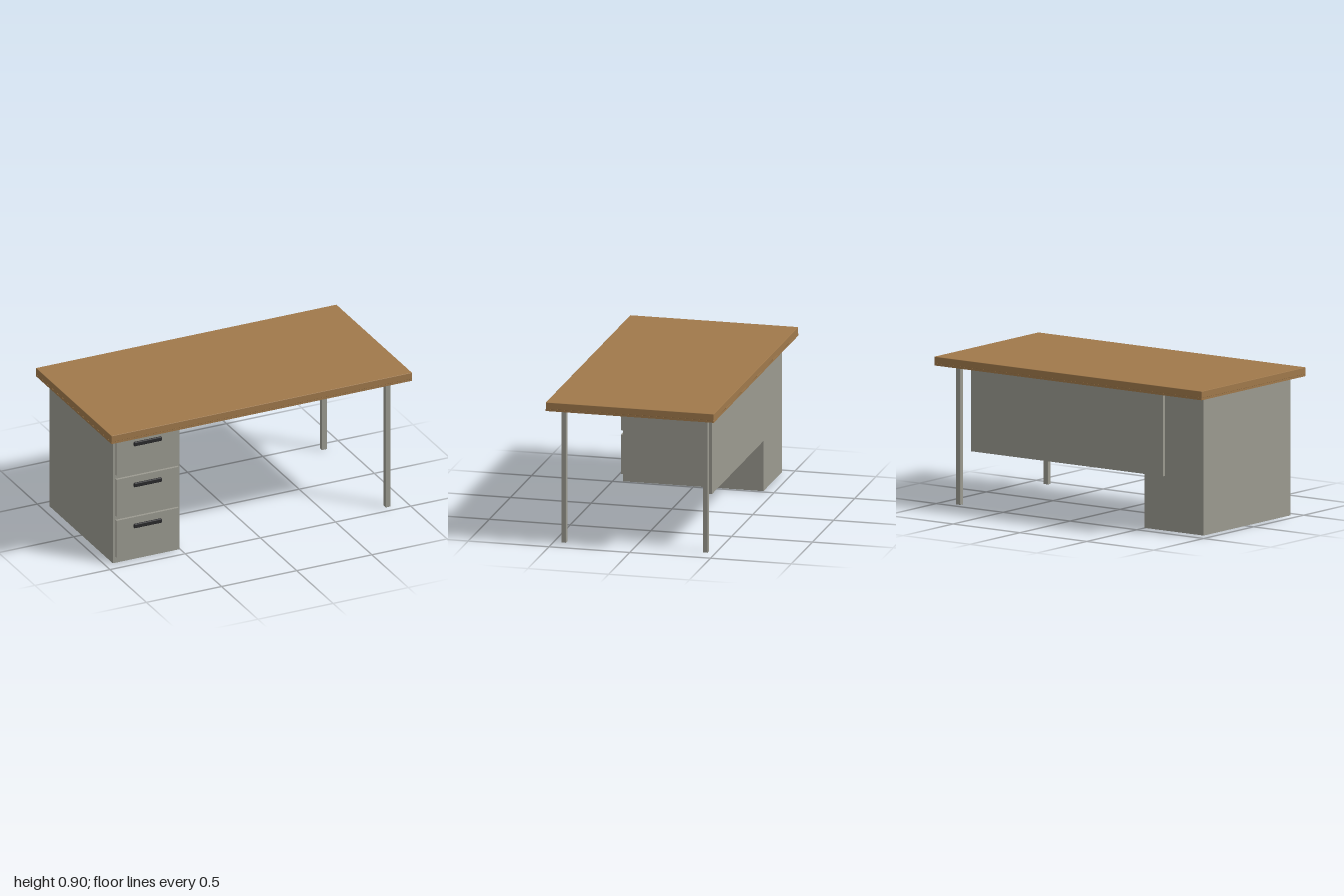
import * as THREE from 'three';
import { RoundedBoxGeometry } from 'three/addons/geometries/RoundedBoxGeometry.js';

const material = (name, color) => {
  const m = new THREE.MeshStandardMaterial({ color });
  m.name = name;
  return m;
};

export function createModel() {
  const wood = material('wood', 0xa0794b);
  const metal = material('paintedMetal', 0x9b9a90);
  const black = material('blackPlastic', 0x2a2a2c);

  const desk = new THREE.Group();
  desk.name = 'desk';

  // Box given by its extents on each axis, with optionally rounded edges
  const box = (parent, name, mat, [x0, x1], [y0, y1], [z0, z1], radius = 0) => {
    const size = [x1 - x0, y1 - y0, z1 - z0];
    const geometry = radius
      ? new RoundedBoxGeometry(...size, 2, radius)
      : new THREE.BoxGeometry(...size);
    const mesh = new THREE.Mesh(geometry, mat);
    mesh.name = name;
    mesh.position.set((x0 + x1) / 2, (y0 + y1) / 2, (z0 + z1) / 2);
    parent.add(mesh);
    return mesh;
  };

  // Table top with its lower edge strip
  box(desk, 'tableTop', wood, [-1, 1], [0.855, 0.897], [-0.52, 0.52], 0.003);
  box(desk, 'tableTopEdge', wood, [-1, 1], [0.843, 0.856], [-0.52, 0.52]);

  // Drawer cabinet
  const cabinet = new THREE.Group();
  cabinet.name = 'drawerCabinet';
  desk.add(cabinet);
  box(cabinet, 'cabinetBody', metal, [-0.95, -0.508], [0.003, 0.844], [-0.433, 0.435]);

  // Three drawers, each a raised front with a bar handle
  for (let i = 0; i < 3; i++) {
    const y = 0.043 + i * 0.2727;
    const drawer = new THREE.Group();
    drawer.name = `drawer${i + 1}`;
    cabinet.add(drawer);
    box(drawer, 'drawerFront', metal, [-0.933, -0.521], [y, y + 0.246], [0.43, 0.452]);
    box(drawer, 'drawerHandle', black, [-0.82, -0.634], [y + 0.174, y + 0.202], [0.442, 0.462], 0.006);
  }

  // Back modesty panel
  box(desk, 'backPanel', metal, [-0.66, 0.775], [0.335, 0.844], [-0.451, -0.432]);

  // Square legs at the open end
  for (const [name, z] of [['frontLeg', 0.438], ['backLeg', -0.438]]) {
    box(desk, name, metal, [0.856, 0.89], [0, 0.844], [z - 0.015, z + 0.015], 0.002);
  }

  return desk;
}
